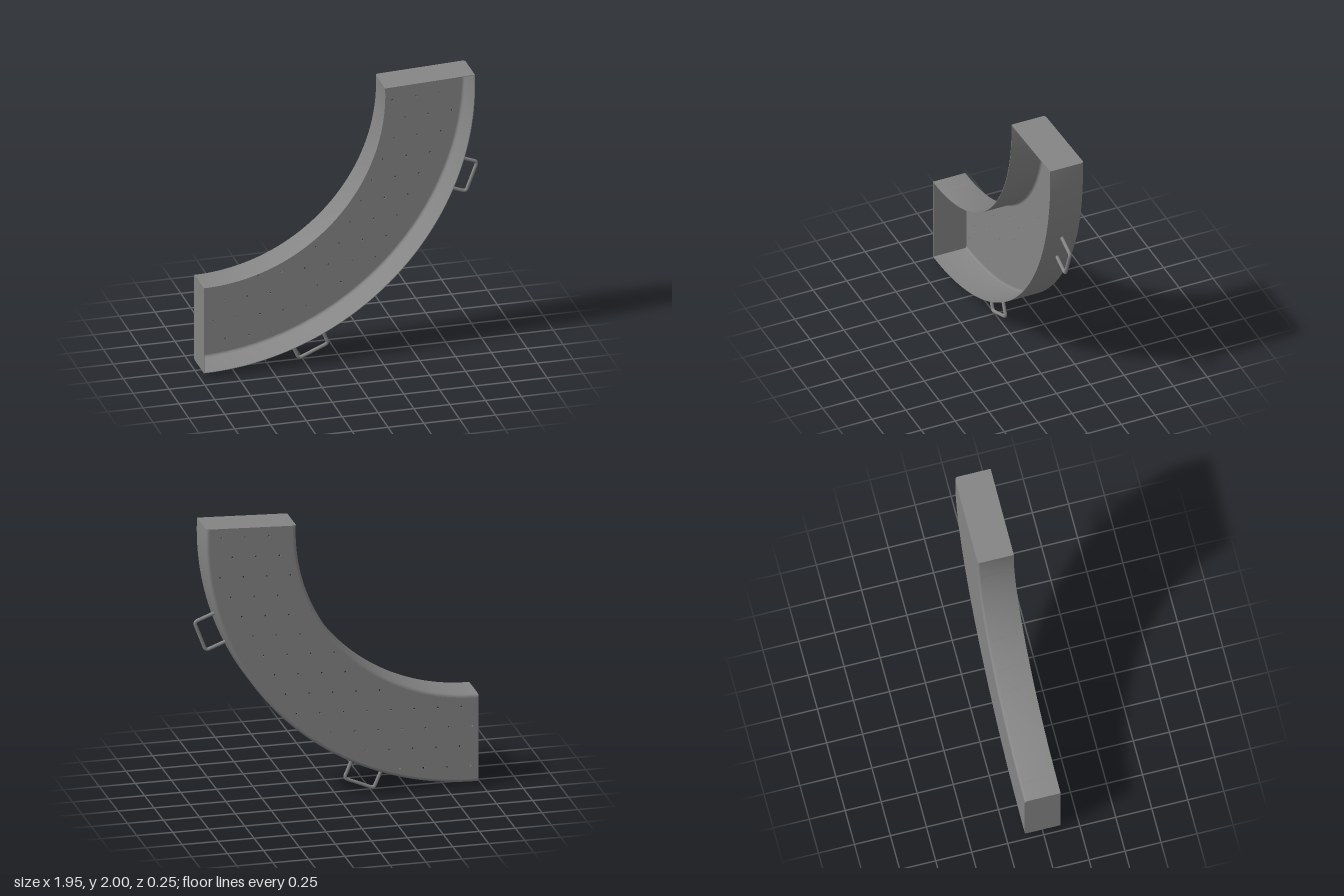
import * as THREE from 'three';
import { toCreasedNormals } from 'three/addons/utils/BufferGeometryUtils.js';

const R_IN = 1.266, R_OUT = 1.893;      // inner and outer bend radius
const CX = -0.972, CY = 1.92;           // centre of the bend
const A0 = -Math.PI / 2, A1 = 0.0423;   // start and end angle
const BACK = -0.125, FRONT = 0.125;     // tray depth
const T = 0.004, F = 0.022;             // sheet thickness, fillet radius
const SEG = 96;

const material = new THREE.MeshStandardMaterial({ color: 0x858585 });

function part(name, geometry) {
  const mesh = new THREE.Mesh(geometry, material);
  mesh.name = name;
  return mesh;
}

// J-shaped wall section with filleted foot, swept round the bend
function wall(name, radius, dir) {
  const pts = [];
  const at = (inset, z) => pts.push(new THREE.Vector2(radius - dir * inset, z));
  const fillet = (r, i) => {
    const a = (i / 6) * Math.PI / 2;
    at(F - r * Math.sin(a), BACK + F - r * Math.cos(a));
  };
  for (let i = 0; i <= 6; i++) fillet(F, i);
  at(0, FRONT);
  at(T, FRONT);
  for (let i = 6; i >= 0; i--) fillet(F - T, i);
  if (dir < 0) pts.reverse();
  const g = new THREE.LatheGeometry(pts, SEG, 0, A1 - A0);
  g.rotateX(Math.PI / 2);
  return part(name, toCreasedNormals(g, 0.6));
}

// Perforated sheet between the two fillets
function floorPlate() {
  const shape = new THREE.Shape();
  shape.absarc(0, 0, R_OUT - F, A0, A1, false);
  shape.absarc(0, 0, R_IN + F, A1, A0, true);
  // Slanted lattice of drain holes, kept clear of the edges
  for (let row = 0; row < 14; row++) {
    for (let col = -8; col < 9; col++) {
      const x = 0.487 - 0.0761 * row + 0.1635 * col - CX;
      const y = 1.916 - 0.1456 * row + 0.0075 * col - CY;
      const r = Math.hypot(x, y);
      if (x < 0.02 || r < 1.315 || r > 1.844) continue;
      const ring = [];
      for (let i = 0; i < 12; i++) {
        const a = -(i / 12) * Math.PI * 2;
        ring.push(new THREE.Vector2(x + 0.006 * Math.cos(a), y + 0.006 * Math.sin(a)));
      }
      shape.holes.push(new THREE.Path(ring));
    }
  }
  const g = new THREE.ExtrudeGeometry(shape, { depth: T, bevelEnabled: false, curveSegments: SEG });
  g.translate(0, 0, BACK);
  return part('perforatedFloor', g);
}

// Flat end panel with rounded back corners
function endWall(name, angle, shift) {
  const s = new THREE.Shape();
  s.moveTo(R_IN, FRONT);
  s.lineTo(R_IN, BACK + F);
  s.absarc(R_IN + F, BACK + F, F, Math.PI, Math.PI * 1.5, false);
  s.lineTo(R_OUT - F, BACK);
  s.absarc(R_OUT - F, BACK + F, F, -Math.PI / 2, 0, false);
  s.lineTo(R_OUT, FRONT);
  s.closePath();
  const g = new THREE.ExtrudeGeometry(s, { depth: T, bevelEnabled: false, curveSegments: 6 });
  g.rotateX(Math.PI / 2).translate(0, shift, 0).rotateZ(angle);
  return part(name, g);
}

// Bent-rod grip on the outer wall
function handle(name, degrees) {
  const v = (x, y) => new THREE.Vector3(x, y, 0);
  const foot = 1.888, top = 2.036, w = 0.112, c = 0.025;
  const path = new THREE.CurvePath();
  path.add(new THREE.LineCurve3(v(foot, -w), v(top - c, -w)));
  path.add(new THREE.QuadraticBezierCurve3(v(top - c, -w), v(top, -w), v(top, c - w)));
  path.add(new THREE.LineCurve3(v(top, c - w), v(top, w - c)));
  path.add(new THREE.QuadraticBezierCurve3(v(top, w - c), v(top, w), v(top - c, w)));
  path.add(new THREE.LineCurve3(v(top - c, w), v(foot, w)));
  const mesh = part(name, new THREE.TubeGeometry(path, 72, 0.012, 12, false));
  mesh.rotation.z = THREE.MathUtils.degToRad(degrees);
  return mesh;
}

export function createModel() {
  const model = new THREE.Group();
  model.name = 'curvedTray';
  const tray = new THREE.Group();
  tray.name = 'tray';
  tray.position.set(CX, CY, 0);
  tray.add(
    floorPlate(),
    wall('outerWall', R_OUT, 1),
    wall('innerWall', R_IN, -1),
    endWall('lowerEndWall', A0, T),
    endWall('upperEndWall', A1, 0),
    handle('lowerHandle', -66.9),
    handle('upperHandle', -20.8),
  );
  model.add(tray);
  return model;
}
